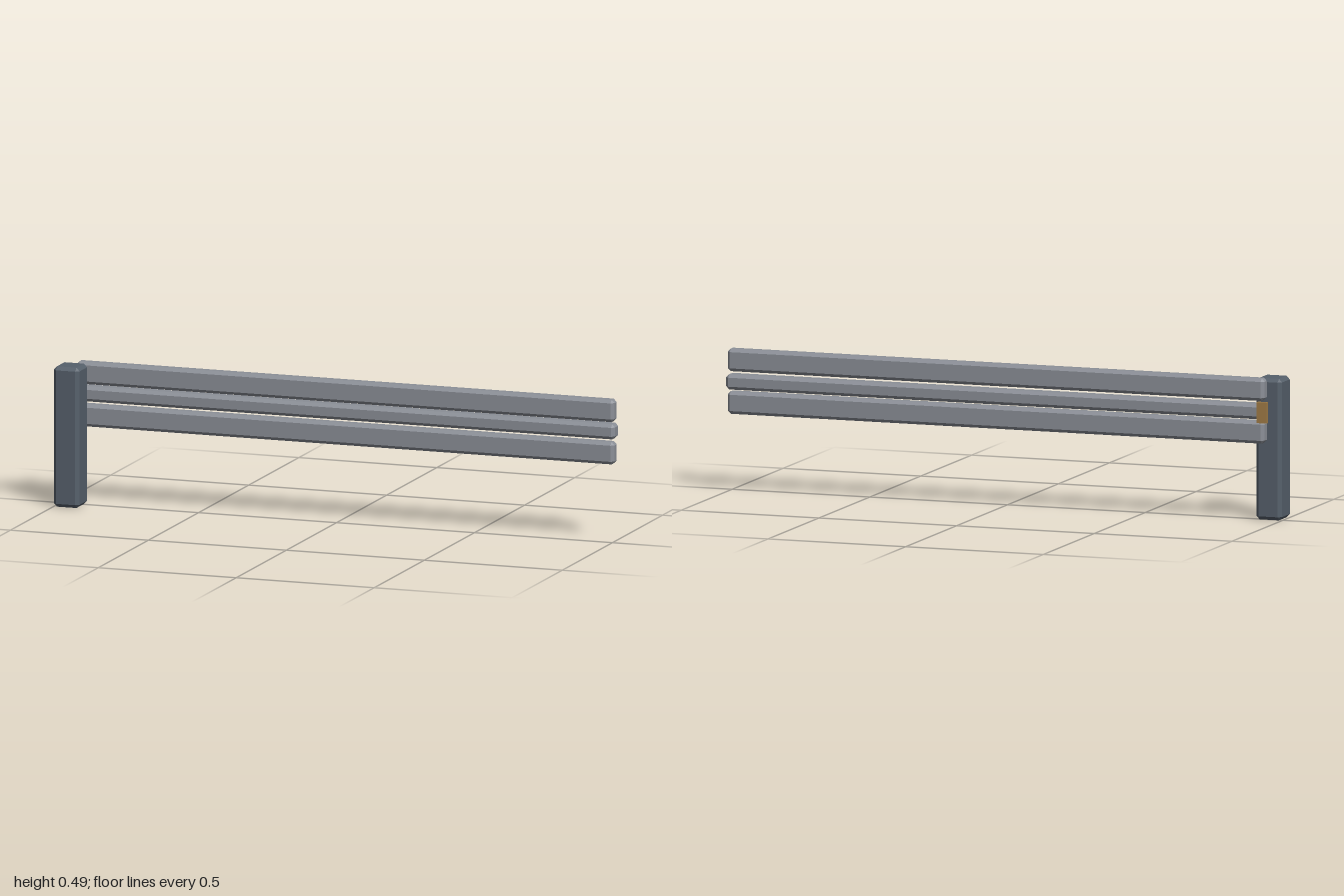
import * as THREE from 'three';
import { ConvexGeometry } from 'three/addons/geometries/ConvexGeometry.js';

const material = (name, color) => {
  const m = new THREE.MeshStandardMaterial({ color });
  m.name = name;
  return m;
};

// Box between two corners with every edge chamfered by c
function chamferedBox(min, max, c) {
  const half = max.map((v, i) => (v - min[i]) / 2);
  const mid = max.map((v, i) => (v + min[i]) / 2);
  const points = [];
  for (const sx of [-1, 1]) for (const sy of [-1, 1]) for (const sz of [-1, 1]) {
    const sign = [sx, sy, sz];
    // three points per corner, one on each adjoining face
    for (let face = 0; face < 3; face++) {
      points.push(new THREE.Vector3(...sign.map((s, i) => mid[i] + s * (half[i] - (i === face ? 0 : c)))));
    }
  }
  return new ConvexGeometry(points);
}

export function createModel() {
  const group = new THREE.Group();
  const postGrey = material('dark slate', 0x56606b);
  const railGrey = material('light grey', 0x8b8f97);
  const brass = material('brass', 0xa07c46);

  const add = (name, geometry, mat) => {
    const mesh = new THREE.Mesh(geometry, mat);
    mesh.name = name;
    group.add(mesh);
    return mesh;
  };

  // Upright post at the right-hand end
  add('post', chamferedBox([-1, 0, -0.018], [-0.906, 0.488, 0.08], 0.012), postGrey);

  // Three long rails behind the post: name, bottom, top, back, front
  const rails = [
    ['lowerRail', 0.267, 0.345, -0.054, -0.011],
    ['middleRail', 0.353, 0.406, -0.069, -0.016],
    ['upperRail', 0.414, 0.492, -0.054, -0.011],
  ];
  for (const [name, bottom, top, back, front] of rails) {
    add(name, chamferedBox([-0.95, bottom, back], [1, top, front], 0.011), railGrey);
  }

  // Small fixing plate on the back of the middle rail
  const plate = add('fixingPlate', new THREE.BoxGeometry(0.036, 0.072, 0.015), brass);
  plate.position.set(-0.952, 0.379, -0.072);

  return group;
}
